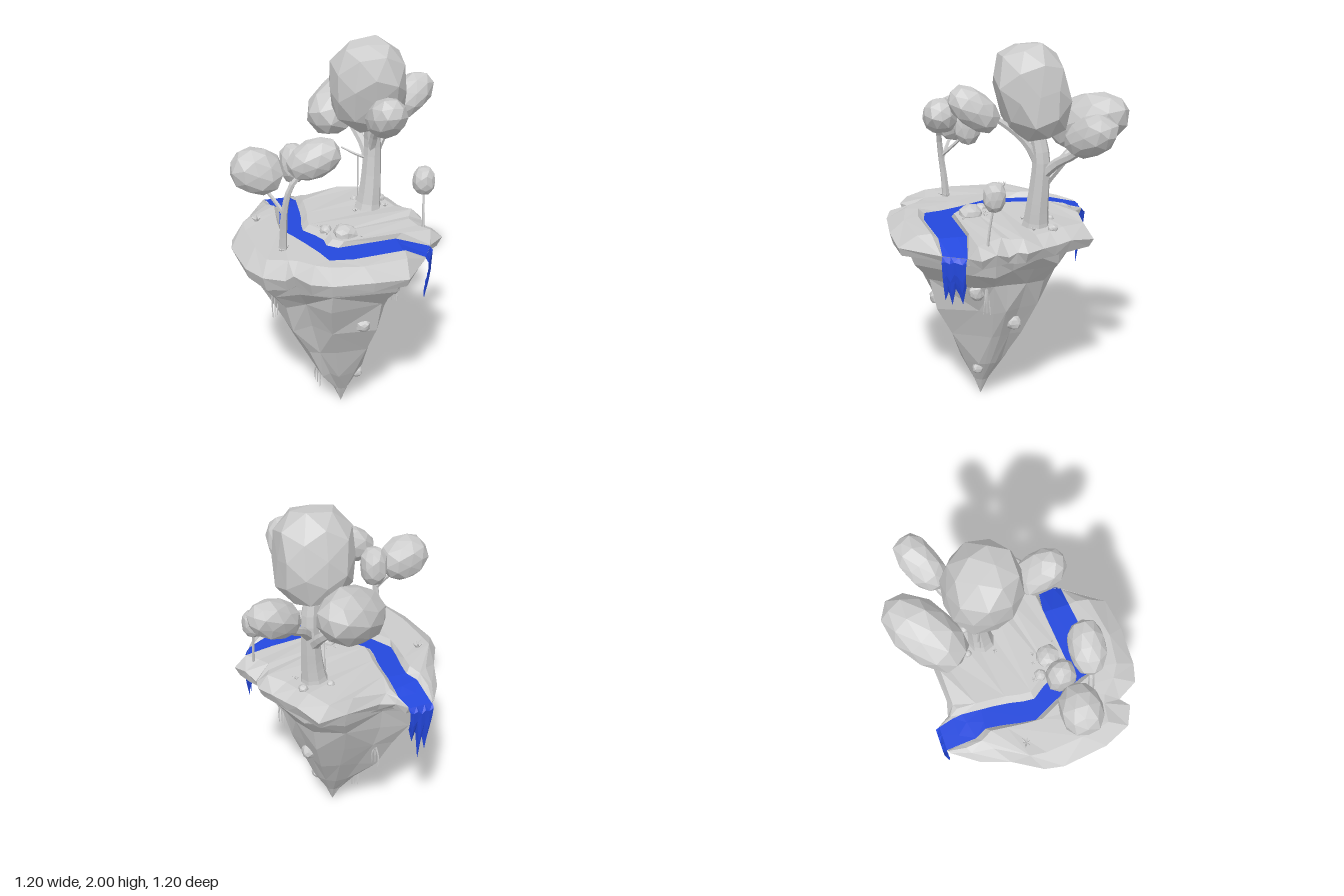
import * as THREE from 'three';

const V = (x, y, z) => new THREE.Vector3(x, y, z);
const grey = new THREE.MeshStandardMaterial({ color: 0xcccccc, flatShading: true, side: THREE.DoubleSide });
const blue = new THREE.MeshStandardMaterial({ color: 0x2448dd, flatShading: true, side: THREE.DoubleSide });

// Repeatable noise in -1..1
const noise = (a, b = 0, c = 0) => {
  const s = Math.sin(a * 127.1 + b * 311.7 + c * 74.7) * 43758.5453;
  return (s - Math.floor(s)) * 2 - 1;
};

// Surface through rows of points with equal counts
function loft(rows, closed = false) {
  const n = rows[0].length, index = [];
  for (let i = 0; i < rows.length - 1; i++) {
    for (let j = 0; j < (closed ? n : n - 1); j++) {
      const a = i * n + j, b = i * n + (j + 1) % n, c = a + n, d = b + n;
      if ((i + j) % 2) index.push(a, c, b, b, c, d);
      else index.push(a, c, d, a, d, b);
    }
  }
  const g = new THREE.BufferGeometry().setFromPoints(rows.flat());
  g.setIndex(index);
  const flat = g.toNonIndexed();
  flat.computeVertexNormals();
  return flat;
}

// Plan outlines [x, z] at matching stations along the river, from back to right fall
const leftEdge = [[-.33, -.47], [-.42, -.34], [-.48, -.19], [-.57, -.04], [-.59, .06], [-.56, .3], [-.5, .44],
  [-.4, .49], [-.35, .45], [-.29, .56], [-.19, .59], [.02, .6], [.2, .58], [.345, .385]];
const leftWater = [[-.31, -.48], [-.31, -.4], [-.31, -.32], [-.28, -.26], [-.29, -.18], [-.31, -.08], [-.32, 0],
  [-.27, .1], [-.22, .2], [-.18, .3], [-.16, .39], [-.06, .41], [.23, .38], [.345, .38]];
const rightWater = [[-.18, -.48], [-.165, -.4], [-.165, -.35], [-.175, -.25], [-.18, -.18], [-.19, -.1], [-.205, -.03],
  [-.21, .03], [-.16, .1], [-.13, .16], [-.13, .22], [-.08, .26], [.23, .235], [.405, .265]];
const rightEdge = [[-.18, -.48], [-.14, -.42], [-.06, -.4], [.13, -.41], [.28, -.415], [.34, -.28], [.37, -.2],
  [.41, -.12], [.45, -.03], [.44, .02], [.43, .06], [.46, .13], [.49, .21], [.41, .26]];
const last = leftEdge.length - 1;
const fromEnd = i => Math.min(i, last - i);
const waterY = i => i === last ? .985 : [.985, 1.005, 1.025][i] ?? 1.035;
const edgeY = (i, s) => fromEnd(i) === 0 ? .985 : (i < 5 ? .985 : 1) + .018 * noise(i, s);

// One station of land: rim, shoulder, bank top, water line
function landRow(edge, water, i, side, inset) {
  const e = V(edge[i][0], edgeY(i, side), edge[i][1]);
  const w = V(water[i][0], waterY(i) - .005, water[i][1]);
  const d = Math.hypot(e.x - w.x, e.z - w.z) || 1;
  const top = i === last ? .99 : [.99, 1.02, 1.045][i] ?? 1.062;
  const bank = w.clone().lerp(e, Math.min(.4, .035 / d)).setY(top);
  const shoulder = e.clone().lerp(bank, Math.min(.6, inset * (1 + .3 * noise(i, side, 2)) / d))
    .setY(top - .004 + .008 * noise(i, side, 5));
  return [e, shoulder, bank, w];
}

// Chunky faceted ellipsoid; its long axis points along `axis`, higher `power` is boxier
function boulder(name, pos, radii, axis = [0, 1, 0], rough = .04, power = 2.5) {
  const g = new THREE.IcosahedronGeometry(1, 1);
  const p = g.attributes.position, v = V();
  for (let i = 0; i < p.count; i++) {
    v.fromBufferAttribute(p, i);
    const k = v.toArray().map(c => Math.round(c * 100) / 100);
    const box = k.reduce((s, c) => s + Math.abs(c) ** power, 0) ** (-1 / power);
    v.multiplyScalar(box * (1 + rough * noise(k[0] + pos[0], k[1] + pos[1], k[2] + pos[2])));
    p.setXYZ(i, v.x * radii[0], v.y * radii[1], v.z * radii[2]);
  }
  g.computeVertexNormals();
  const m = new THREE.Mesh(g, grey);
  m.name = name;
  m.position.set(...pos);
  m.quaternion.setFromUnitVectors(V(0, 1, 0), V(...axis).normalize());
  return m;
}

// Tapering limb along a curve
function limb(name, pts, r0, r1, sides = 6) {
  const curve = new THREE.CatmullRomCurve3(pts.map(p => V(...p)));
  const seg = pts.length * 2, g = new THREE.TubeGeometry(curve, seg, 1, sides);
  const p = g.attributes.position, v = V();
  for (let i = 0; i <= seg; i++) {
    const c = curve.getPointAt(i / seg), r = r0 + (r1 - r0) * Math.sqrt(i / seg);
    for (let j = 0; j <= sides; j++) {
      const k = i * (sides + 1) + j;
      v.fromBufferAttribute(p, k).sub(c).multiplyScalar(r).add(c);
      p.setXYZ(k, v.x, v.y, v.z);
    }
  }
  g.computeVertexNormals();
  const m = new THREE.Mesh(g, grey);
  m.name = name;
  return m;
}

// Falling water between two top corners, ending in ragged prongs
function waterfall(a, b, out, depths) {
  const n = depths.length - 1;
  const profile = [[0, 0], [.12, 1], [.5, .8], [.75, .3], [1, -.4]];
  return loft(profile.map(([t, o]) => depths.map((d, j) => {
    const p = V(...a).lerp(V(...b), .5 + (j / n - .5) * (1 - .15 * t));
    return V(p.x + out[0] * o, p.y - d * t, p.z + out[1] * o);
  })));
}

export function createModel() {
  const model = new THREE.Group();
  const add = (name, geo, mat = grey) => {
    const m = new THREE.Mesh(geo, mat);
    m.name = name;
    model.add(m);
  };
  const group = (name, ...parts) => {
    const g = new THREE.Group();
    g.name = name;
    g.add(...parts);
    model.add(g);
    return g;
  };

  // Land on both sides of the river
  const leftRows = leftEdge.map((_, i) => landRow(leftEdge, leftWater, i, 1, .12));
  const rightRows = rightEdge.map((_, i) => landRow(rightEdge, rightWater, i, 2, .075));
  add('leftLand', loft(leftRows));
  add('rightLand', loft(rightRows.map(r => [...r].reverse())));

  // River and its two falls
  add('river', loft(leftWater.map((l, i) => [0, 1 / 3, 2 / 3, 1].map(t =>
    V(l[0], waterY(i), l[1]).lerp(V(rightWater[i][0], waterY(i), rightWater[i][1]), t)))), blue);
  add('rightWaterfall', waterfall([.345, .985, .38], [.405, .985, .265], [.015, .008],
    [.24, .19, .26, .17, .2, .25, .16]), blue);
  add('backWaterfall', waterfall([-.18, .985, -.48], [-.315, .985, -.48], [0, -.02],
    [.14, .22, .16, .34, .2, .29, .15]), blue);

  // Rim and underside
  const rim = [...leftRows.map(r => r[0]), ...rightRows.map(r => r[0]).reverse()];
  const ring = (loop, s, y, cx, cz, rough, k) => loop.map((p, j) => {
    const q = s * (1 + rough * noise(j, k, 3));
    return V(cx + (p.x + .05) * q, y + rough * .2 * noise(j, k, 8), cz + (p.z - .06) * q);
  });
  add('rim', loft([rim, ring(rim, .96, .945, -.05, .06, .02, 1), ring(rim, .75, .935, -.05, .06, .02, 2)], true));

  // Hanging rock: [scale, y, centre x, centre z]
  const sparse = rim.filter((_, j) => j % 2 === 0);
  const levels = [[.91, .945, -.045, .06], [.82, .87, -.05, .06], [.71, .76, -.06, .06], [.58, .6, -.055, .06],
    [.42, .42, -.04, .068], [.24, .23, -.035, .1], [.08, .1, -.03, .115], [.001, 0, -.03, .12]];
  add('hangingRock', loft(levels.map(([s, y, cx, cz], k) =>
    ring(sparse, s, y, cx, cz, k > 5 ? 0 : .06, k + 10)), true));

  // Big tree
  group('bigTree',
    limb('trunk', [[.18, 1.03, -.13], [.195, 1.15, -.135], [.205, 1.28, -.145], [.21, 1.42, -.15], [.19, 1.55, -.13]], .078, .04, 8),
    limb('rightBranch', [[.21, 1.32, -.15], [.28, 1.41, -.22], [.36, 1.47, -.28], [.42, 1.54, -.31]], .032, .02),
    limb('backBranch', [[.2, 1.28, -.16], [.19, 1.36, -.24], [.15, 1.45, -.34], [.12, 1.52, -.41]], .034, .02),
    limb('frontBranch', [[.2, 1.38, -.14], [.2, 1.5, -.07], [.19, 1.6, .04], [.185, 1.66, .14]], .028, .015),
    limb('leftBranch', [[.2, 1.32, -.15], [.13, 1.35, -.15], [.05, 1.39, -.18]], .012, .005, 5),
    limb('vine', [[.13, 1.35, -.15], [.132, 1.22, -.15], [.13, 1.08, -.15]], .004, .003, 4),
    boulder('topCrown', [.17, 1.745, -.11], [.19, .24, .175], [-.08, 1, .28], .04, 3.2),
    boulder('backCrown', [.11, 1.565, -.42], [.135, .235, .135], [.72, .38, -.55]),
    boulder('rightCrown', [.46, 1.585, -.33], [.092, .158, .092], [.8, .45, -.4]),
    boulder('frontCrown', [.185, 1.68, .185], [.098, .142, .09], [0, .62, .78]));

  // Left tree
  group('leftTree',
    limb('trunk', [[-.36, 1.03, .24], [-.355, 1.16, .25], [-.35, 1.28, .265], [-.32, 1.41, .28], [-.25, 1.5, .29]], .024, .014),
    limb('leftBranch', [[-.352, 1.26, .262], [-.39, 1.32, .23], [-.45, 1.4, .18]], .014, .008, 5),
    limb('backBranch', [[-.35, 1.29, .265], [-.31, 1.36, .2], [-.28, 1.42, .15]], .013, .008, 5),
    boulder('leftCrown', [-.465, 1.465, .17], [.112, .132, .105], [-.9, .4, -.1]),
    boulder('frontCrown', [-.205, 1.55, .29], [.09, .135, .09], [.9, .4, .1]),
    boulder('backCrown', [-.275, 1.47, .135], [.068, .105, .072]));

  // Small tree
  group('smallTree',
    limb('trunk', [[.4, 1.02, .165], [.402, 1.12, .155], [.405, 1.27, .13]], .009, .006, 5),
    boulder('crown', [.405, 1.295, .13], [.056, .075, .056]));

  // Stones on the land and set into the rock
  [[-.02, 1.065, .17, .06, .045], [-.105, 1.06, .1, .03, .025], [.27, 1.06, -.2, .025, .02], [.13, 1.06, -.22, .02, .02],
    [.235, .73, .19, .04, .048], [.17, .51, -.02, .04, .042], [.05, .2, .15, .03, .032], [.025, .63, .365, .037, .034],
    [-.36, .7, -.06, .035, .04]]
    .forEach(([x, y, z, r, h]) => model.add(boulder('stone', [x, y, z], [r, h, r], [0, 1, 0], .1)));

  // Tufts: little fans of pointed leaves
  [[-.12, .06, .7], [-.03, .085, .6], [.015, .1, .7], [-.11, .145, .6], [.05, .22, .5], [-.34, .24, .9], [-.37, .26, .8],
    [.1, -.08, .7], [.27, -.1, .7], [-.43, -.09, 1.4]].forEach(([x, z, s], t) => {
    const leaves = [];
    for (let k = 0; k < 6; k++) {
      const g = new THREE.ConeGeometry(.006, .03, 4).translate(0, .015, 0).rotateX(.8 + .4 * noise(k, t)).rotateY(k * Math.PI / 3);
      leaves.push(new THREE.Mesh(g, grey));
      leaves[k].name = 'leaf';
    }
    const tuft = group('tuft', ...leaves);
    tuft.position.set(x, 1.058, z);
    tuft.scale.setScalar(s);
  });

  // Hanging roots
  [[-.4, .85, .2, .25], [-.15, .24, .07, .16], [-.13, .58, -.22, .13], [.26, .76, .14, .18]].forEach(([x, y, z, len]) => {
    const strands = [-1, 0, 1].map(k => limb('strand', [[x, y, z], [x + .012 * k, y - len * .4, z + .012 * k],
      [x + .008 * k, y - len * (.85 + .12 * noise(k, x)), z + .02 * k]], .011, .002, 5));
    group('root', ...strands);
  });

  return model;
}
